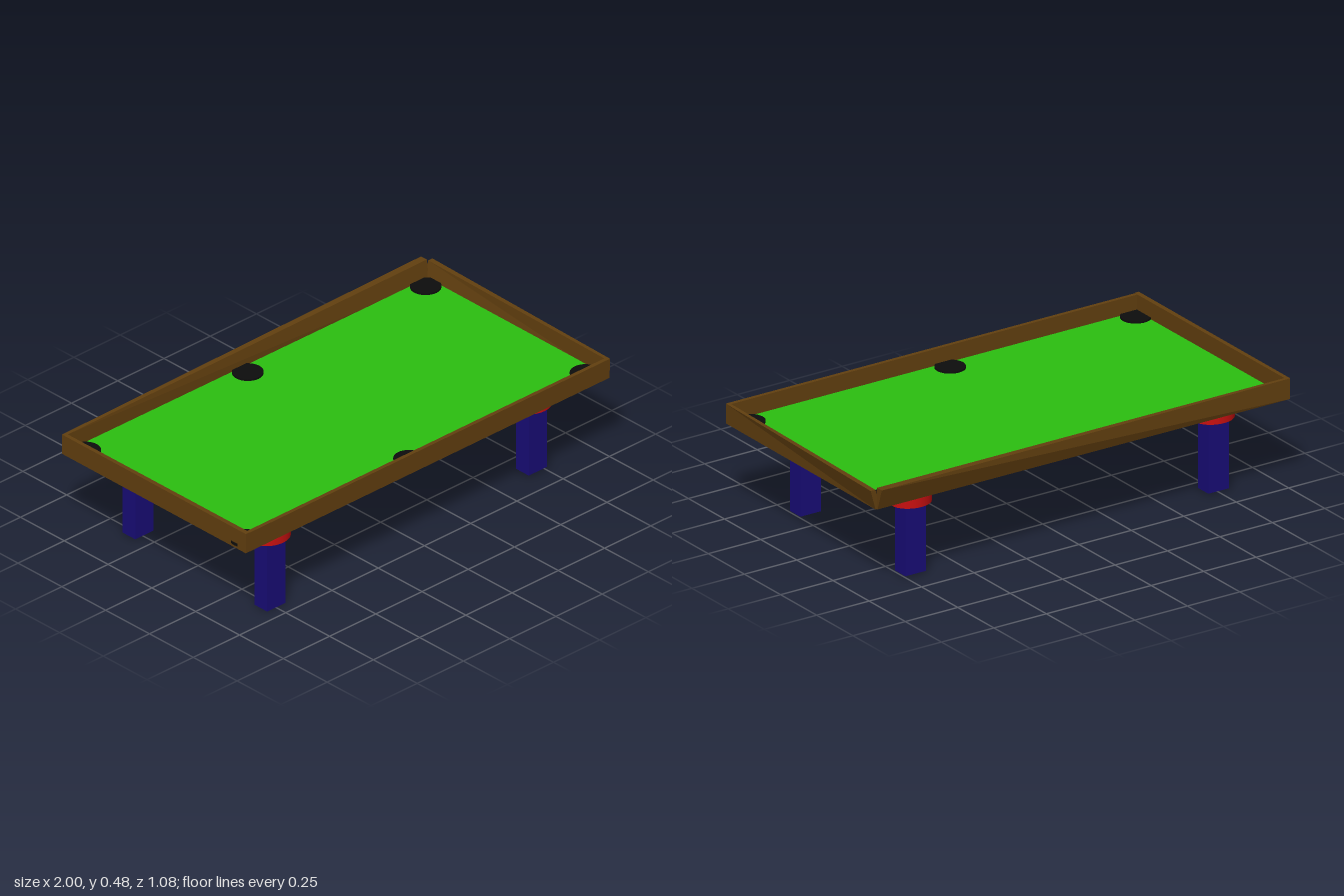
import * as THREE from 'three';

const mat = (color) => new THREE.MeshStandardMaterial({ color, side: THREE.DoubleSide });

// Board joining two four-cornered end sections, so its lean can change along its length
function board(a, b) {
  const p = [...a, ...b];
  const quads = [[0, 1, 2, 3], [7, 6, 5, 4]];
  for (let i = 0; i < 4; i++) {
    const j = (i + 1) % 4;
    quads.push([i, i + 4, j + 4, j]);
  }
  const pos = [];
  for (const q of quads) for (const k of [0, 1, 2, 0, 2, 3]) pos.push(...p[q[k]]);
  const g = new THREE.BufferGeometry();
  g.setAttribute('position', new THREE.Float32BufferAttribute(pos, 3));
  g.computeVertexNormals();
  return g;
}

export function createModel() {
  const table = new THREE.Group();
  table.name = 'poolTable';
  const wood = mat(0x63400f), felt = mat(0x2bc010), black = mat(0x0d0d0d);
  const red = mat(0xc81010), navy = mat(0x180c78);

  const add = (name, geometry, material, x = 0, y = 0, z = 0) => {
    const mesh = new THREE.Mesh(geometry, material);
    mesh.name = name;
    mesh.position.set(x, y, z);
    table.add(mesh);
    return mesh;
  };

  // Playing surface
  add('feltBed', new THREE.BoxGeometry(1.945, 0.01, 1.025), felt, -0.0075, 0.397, 0.01);

  // Rails: sections run inner bottom, outer bottom, outer top, inner top
  const xSection = (x, ib, ob, ot, it, top) =>
    [[x, 0.387, ib], [x, 0.387, ob], [x, top, ot], [x, top, it]];
  const zSection = (z, ib, ob, ot, it, top) =>
    [[ib, 0.387, z], [ob, 0.387, z], [ot, top, z], [it, top, z]];
  add('frontRail', board(
    xSection(0.968, 0.518, 0.535, 0.535, 0.518, 0.473),
    xSection(-0.99, 0.518, 0.535, 0.535, 0.518, 0.473)), wood);
  add('backRail', board(
    xSection(-0.99, -0.503, -0.518, -0.518, -0.503, 0.475),
    xSection(0.968, -0.495, -0.512, -0.541, -0.508, 0.478)), wood);
  add('rightRail', board(
    zSection(0.535, -0.978, -0.999, -0.999, -0.978, 0.475),
    zSection(-0.518, -0.978, -0.995, -0.995, -0.978, 0.475)), wood);
  add('leftRail', board(
    zSection(-0.508, 0.958, 0.975, 0.998, 0.975, 0.471),
    zSection(0.535, 0.953, 0.968, 0.97, 0.955, 0.473)), wood);

  // Pockets
  const pocket = new THREE.CylinderGeometry(0.062, 0.062, 0.012, 32);
  for (const [x, z] of [[-0.933, -0.45], [-0.055, -0.45], [0.907, -0.45],
    [-0.94, 0.47], [-0.055, 0.47], [0.902, 0.467]])
    add('pocket', pocket, black, x, 0.404, z);

  // Legs with round collars: x, z, foot height, collar bottom
  for (const [x, z, foot, low] of [[-0.748, 0.408, 0, 0.311], [0.706, 0.366, 0.01, 0.301],
    [-0.748, -0.345, 0.006, 0.309], [0.706, -0.36, 0.01, 0.307]]) {
    const collar = add('legCollar', new THREE.CylinderGeometry(0.088, 0.088, 0.394 - low, 32),
      red, x, (0.394 + low) / 2, z);
    collar.scale.z = 0.85;
    add('leg', new THREE.BoxGeometry(0.098, 0.385 - foot, 0.072), navy, x, (0.385 + foot) / 2, z);
  }
  return table;
}
